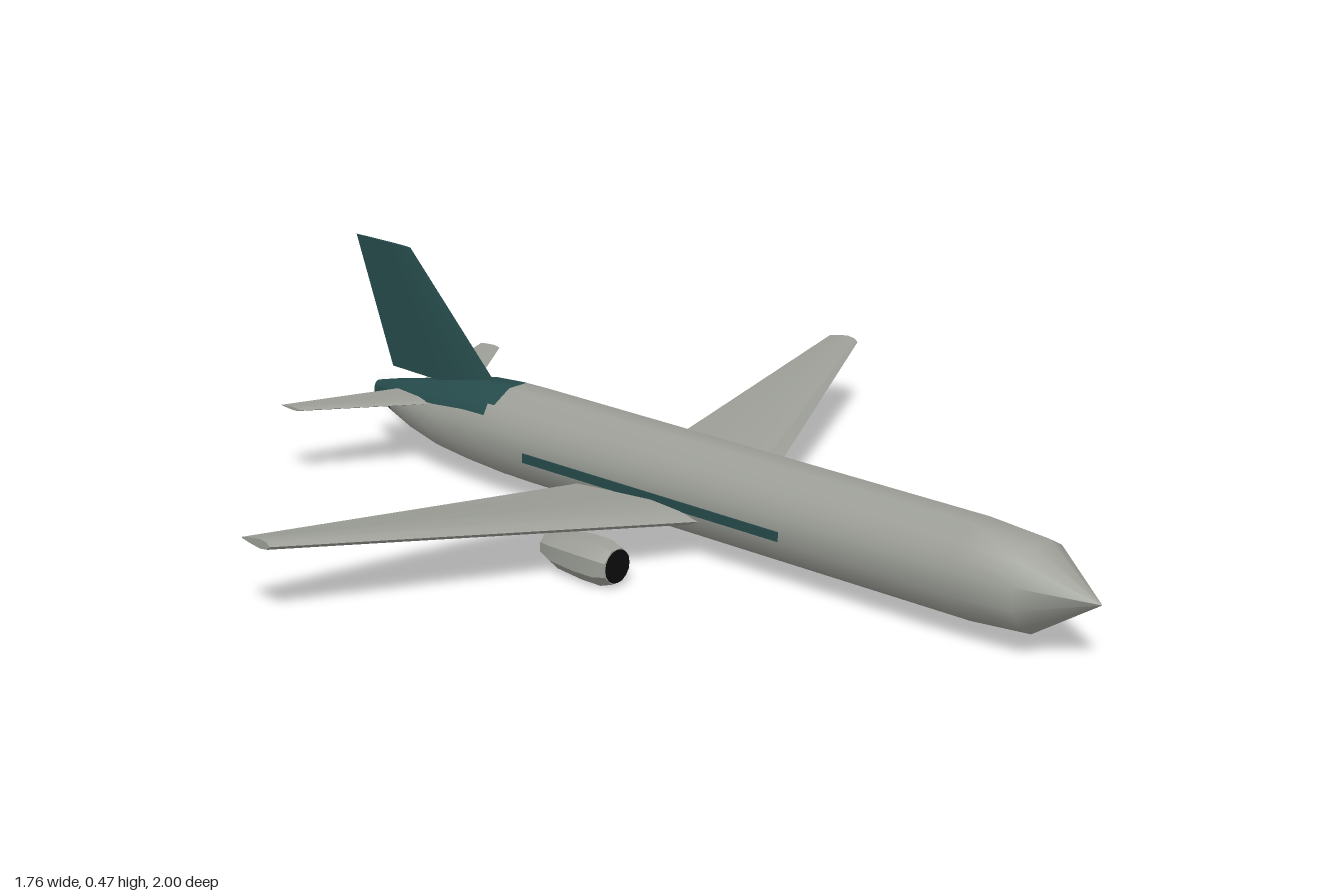
import * as THREE from 'three';
import { toCreasedNormals } from 'three/addons/utils/BufferGeometryUtils.js';

const paint = (name, color) => {
  const m = new THREE.MeshStandardMaterial({ color });
  m.name = name;
  return m;
};

// Skin a list of closed rings (arrays of [x, y, z]) and cap both ends.
// pick(i, j) chooses material group 0 or 1 for each quad.
function loft(rings, crease, pick = () => 0) {
  const n = rings[0].length;
  const cap = (ring) => {
    const c = [0, 1, 2].map((k) => ring.reduce((s, p) => s + p[k], 0) / n);
    return ring.map(() => c);
  };
  const all = [cap(rings[0]), ...rings, cap(rings[rings.length - 1])];
  const faces = [[], []];
  for (let i = 0; i < all.length - 1; i++) {
    for (let j = 0; j < n; j++) {
      const a = i * n + j, b = i * n + (j + 1) % n;
      faces[pick(i - 1, j)].push(a, b, b + n, a, b + n, a + n);
    }
  }
  const g = new THREE.BufferGeometry();
  g.setAttribute('position', new THREE.Float32BufferAttribute(all.flat(2), 3));
  g.setIndex([...faces[0], ...faces[1]]);
  g.addGroup(0, faces[0].length, 0);
  if (faces[1].length) g.addGroup(faces[0].length, faces[1].length, 1);
  return toCreasedNormals(g, crease);
}

// Airfoil outline: [chord fraction from leading edge, half thickness]
const FOIL = [[1, 0.06], [0.7, 0.3], [0.35, 0.5], [0.1, 0.36], [0, 0],
  [0.1, -0.36], [0.35, -0.5], [0.7, -0.3], [1, -0.06]];

export function createModel() {
  const grey = paint('bodyGrey', 0x9c9e97);
  const teal = paint('tailTeal', 0x264b4b);
  const black = paint('intakeBlack', 0x0c0c0c);
  const model = new THREE.Group();
  model.name = 'airliner';
  const add = (name, geometry, material, parent = model) => {
    const mesh = new THREE.Mesh(geometry, material);
    mesh.name = name;
    parent.add(mesh);
    return mesh;
  };

  // Fuselage: twelve-sided tube, with the paint edge of the tail at 60 degrees
  const angles = [-60, -45, -15, 15, 45, 60, 75, 105, 135, 165, 195, 225, 255, 285];
  const stations = [ // z, half width, top, bottom
    [1, 0.001, 0.131, 0.129], [0.86, 0.092, 0.219, 0.041], [0.72, 0.102, 0.228, 0.031],
    [-0.45, 0.102, 0.228, 0.031], [-0.51, 0.101, 0.227, 0.032], [-0.53, 0.1, 0.226, 0.032],
    [-0.6, 0.096, 0.221, 0.036], [-0.7, 0.083, 0.2, 0.046], [-0.8, 0.06, 0.178, 0.065],
    [-0.88, 0.034, 0.162, 0.085], [-0.945, 0.014, 0.146, 0.107],
  ];
  const flat = Math.cos(Math.PI / 12);
  const body = stations.map(([z, rx, top, bottom]) => angles.map((deg) => {
    const a = THREE.MathUtils.degToRad(deg);
    const k = Math.abs(deg) === 60 ? flat : 1;
    const ry = (top - bottom) / 2 / flat;
    return [Math.sin(a) * rx * k, (top + bottom) / 2 + Math.cos(a) * ry * k, z];
  }));
  const tailPaint = (i, j) => {
    if (i >= 9) return 1;
    if (i >= 5) return j < 5 ? 1 : 0;
    return i === 4 && j > 0 && j < 4 ? 1 : 0;
  };
  add('fuselage', loft(body, 0.9, tailPaint), [grey, teal]);

  // Wings and tailplanes: sections are [x, y, leading z, trailing z, thickness]
  const wing = (sections, side) => loft(sections.map(([x, y, lead, trail, t]) => {
    const ring = FOIL.map(([c, h]) => [side * x, y + h * t, lead + (trail - lead) * c]);
    return side > 0 ? ring : ring.reverse();
  }), 0.7);
  const wingSections = [[0.05, 0.088, 0.104, -0.241, 0.042], [0.88, 0.163, -0.3, -0.38, 0.02]];
  const tailSections = [[0.02, 0.154, -0.69, -0.845, 0.012], [0.3, 0.166, -0.868, -0.925, 0.007]];

  // Engine nacelle profile: [radius, z]
  const nacelle = [[0, -0.14], [0.026, -0.14], [0.041, -0.1], [0.047, -0.03],
    [0.047, 0.02], [0.038, 0.048], [0, 0.048]].map(([r, z]) => new THREE.Vector2(r, z));

  for (const [label, side] of [['left', 1], ['right', -1]]) {
    add(label + 'Wing', wing(wingSections, side), grey);
    add(label + 'Tailplane', wing(tailSections, side), grey);

    const engine = new THREE.Group();
    engine.name = label + 'Engine';
    engine.position.set(side * 0.29, 0.0445, 0);
    const shell = new THREE.LatheGeometry(nacelle, 8, Math.PI / 8).rotateX(Math.PI / 2);
    add('nacelle', toCreasedNormals(shell, 0.5), grey, engine);
    add('intake', new THREE.CircleGeometry(0.035, 16), black, engine).position.z = 0.0495;
    model.add(engine);

    // Painted side stripe
    add(label + 'Stripe', new THREE.BoxGeometry(0.006, 0.02, 0.7), teal)
      .position.set(side * 0.0985, 0.116, -0.05);
  }

  // Fin: sections are [y, leading z, trailing z, thickness]
  const fin = [[0.19, -0.55, -0.895, 0.018], [0.47, -0.83, -1, 0.007]].map(
    ([y, lead, trail, t]) => FOIL.map(([c, h]) => [-h * t, y, lead + (trail - lead) * c]));
  add('fin', loft(fin, 0.7), teal);

  return model;
}
